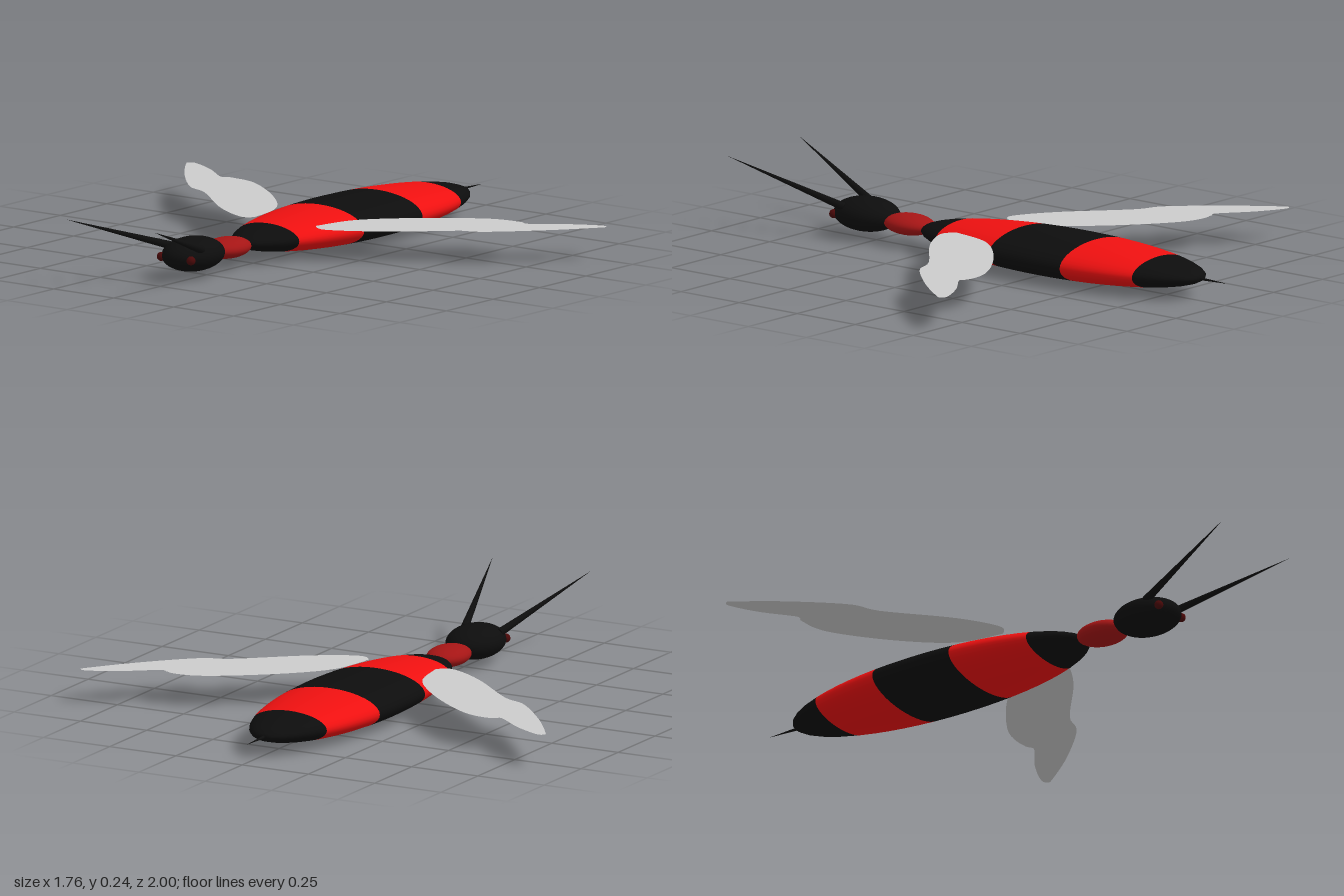
import * as THREE from 'three';

const paint = (color, side = THREE.FrontSide) => new THREE.MeshStandardMaterial({ color, side });
const black = paint(0x0d0d0d);
const red = paint(0xee1010);
const darkRed = paint(0xa51515);
const eyeRed = paint(0x4a0808);
const wingGrey = paint(0xcccccc, THREE.DoubleSide);

function add(parent, name, geometry, material) {
  const mesh = new THREE.Mesh(geometry, material);
  mesh.name = name;
  parent.add(mesh);
  return mesh;
}

// Ellipsoid with its poles on z, optionally only a slice between two polar angles
function ellipsoid(rx, ry, rz, t0 = 0, t1 = Math.PI, rings = 20) {
  return new THREE.SphereGeometry(1, 40, rings, 0, Math.PI * 2, t0, t1 - t0)
    .rotateX(Math.PI / 2)
    .scale(rx, ry, rz);
}

// Cone running from a base point to a sharp tip
function spike(parent, name, base, tip, radius) {
  const a = new THREE.Vector3(...base);
  const b = new THREE.Vector3(...tip);
  const dir = b.clone().sub(a);
  const mesh = add(parent, name, new THREE.ConeGeometry(radius, dir.length(), 12), black);
  mesh.position.copy(a).add(b).multiplyScalar(0.5);
  mesh.quaternion.setFromUnitVectors(new THREE.Vector3(0, 1, 0), dir.normalize());
  return mesh;
}

// Flat wing blade from [x, z] outline points
function blade(points) {
  const outline = points.map(([x, z]) => new THREE.Vector2(x, -z));
  outline.push(outline[0].clone());
  const shape = new THREE.Shape(new THREE.SplineCurve(outline).getPoints(90));
  return new THREE.ShapeGeometry(shape).rotateX(-Math.PI / 2);
}

const longBlade = [
  [0.127, 0.055], [0.18, 0.08], [0.32, 0], [0.51, -0.165], [0.61, -0.215],
  [0.75, -0.365], [0.855, -0.508], [0.864, -0.535], [0.835, -0.54], [0.74, -0.49],
  [0.645, -0.417], [0.62, -0.412], [0.595, -0.42], [0.48, -0.395], [0.3, -0.26],
  [0.165, -0.105],
];
const shortBlade = [
  [0.135, 0.05], [0.18, 0.07], [0.32, -0.01], [0.5, -0.17], [0.6, -0.3],
  [0.62, -0.38], [0.59, -0.415], [0.48, -0.39], [0.3, -0.255], [0.17, -0.105],
];

export function createModel() {
  const model = new THREE.Group();
  model.name = 'insect';
  const insect = new THREE.Group();
  insect.name = 'insectBody';
  insect.position.x = -0.015;
  model.add(insect);

  // Striped abdomen: alternating slices of one ellipsoid
  const abdomen = new THREE.Group();
  abdomen.name = 'abdomen';
  abdomen.position.set(0, 0.07, -0.293);
  insect.add(abdomen);
  const halfLength = 0.592;
  const cuts = [0, ...[0.15, -0.125, -0.435, -0.705].map((z) => Math.acos((z + 0.293) / halfLength)), Math.PI];
  for (let i = 0; i < 5; i++) {
    add(abdomen, `stripe${i + 1}`, ellipsoid(0.195, 0.07, halfLength, cuts[i], cuts[i + 1], 5), i % 2 ? red : black);
  }

  // Neck and head
  add(insect, 'neck', ellipsoid(0.068, 0.035, 0.095), darkRed).position.set(0, 0.07, 0.37);
  add(insect, 'head', ellipsoid(0.093, 0.057, 0.122), black).position.set(0, 0.078, 0.553);

  // Eyes, antennae and wings on both sides
  for (const side of [1, -1]) {
    const label = side > 0 ? 'left' : 'right';
    add(insect, `${label}Eye`, new THREE.SphereGeometry(0.015, 16, 10), eyeRed)
      .position.set(side * 0.062, 0.075, 0.645);
    spike(insect, `${label}Antenna`, [side * 0.066, 0.105, 0.595], [side * 0.186, 0.24, 1], 0.014);

    const wing = new THREE.Group();
    wing.name = `${label}Wing`;
    add(wing, 'longBlade', blade(longBlade), wingGrey).position.y = 0.109;
    add(wing, 'shortBlade', blade(shortBlade), wingGrey).position.y = 0.105;
    wing.scale.x = side;
    // The left wing is spread slightly wider
    if (side > 0) {
      wing.rotation.y = -0.03;
      wing.scale.set(1.015, 1, 1.015);
    }
    insect.add(wing);
  }

  // Stinger
  spike(insect, 'stinger', [0, 0.07, -0.86], [0, 0.07, -1], 0.006);
  return model;
}
